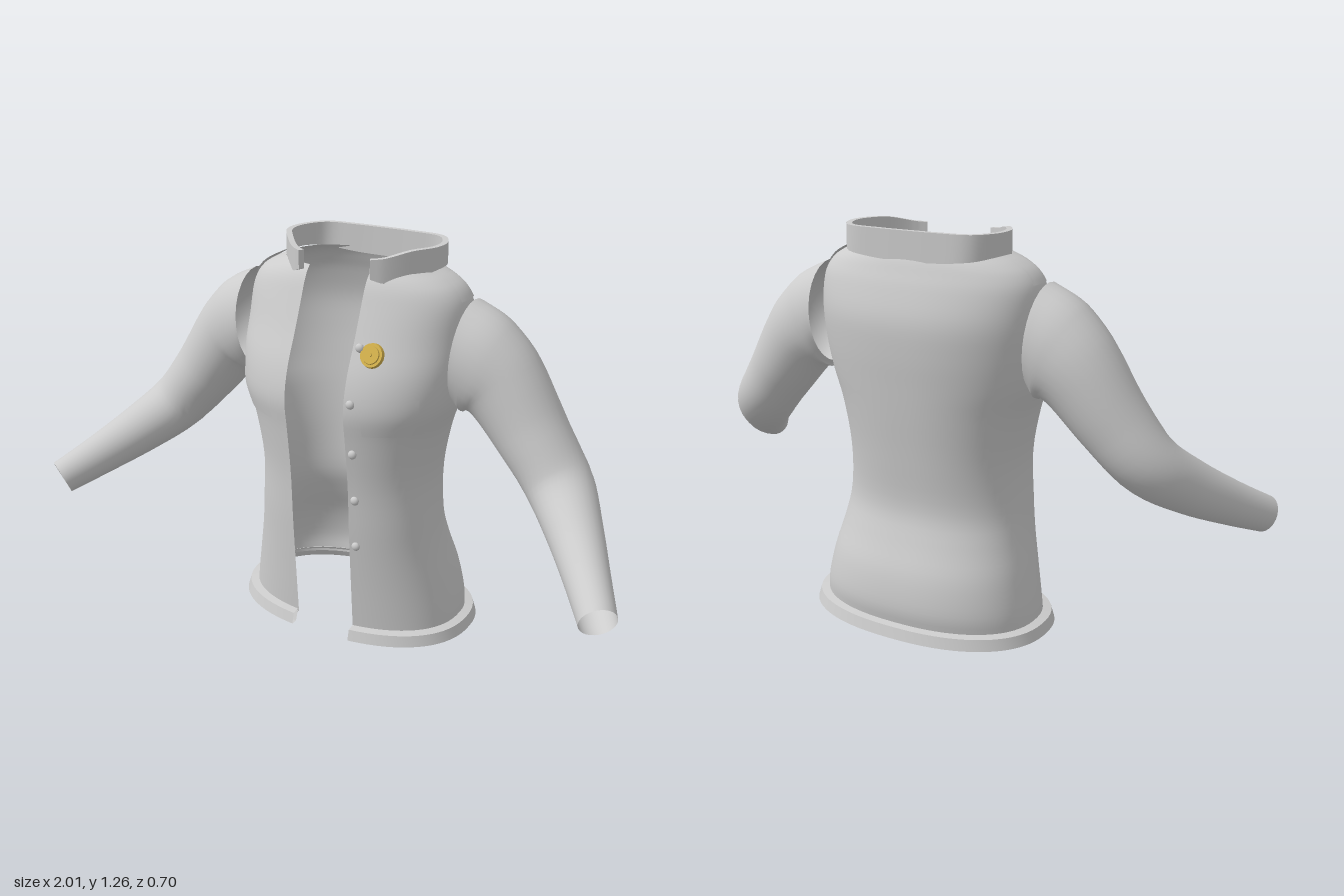
import * as THREE from 'three';
import { mergeVertices, toCreasedNormals } from 'three/addons/utils/BufferGeometryUtils.js';

const cloth = new THREE.MeshStandardMaterial({ color: 0xcccccc, side: THREE.DoubleSide });
cloth.name = 'grey cloth';
const gold = new THREE.MeshStandardMaterial({ color: 0xd2b04c });
gold.name = 'gold';

// Sheet through fn(u, v) with u, v in 0..1
function sheet(nu, nv, fn, crease) {
  const pos = [], idx = [];
  for (let j = 0; j <= nv; j++) {
    for (let i = 0; i <= nu; i++) pos.push(...fn(i / nu, j / nv));
  }
  for (let j = 0; j < nv; j++) {
    for (let i = 0; i < nu; i++) {
      const a = j * (nu + 1) + i, b = a + nu + 1;
      idx.push(a, a + 1, b + 1, a, b + 1, b);
    }
  }
  let g = new THREE.BufferGeometry();
  g.setAttribute('position', new THREE.Float32BufferAttribute(pos, 3));
  g.setIndex(idx);
  g = mergeVertices(g, 1e-5);
  if (crease) return toCreasedNormals(g, 0.6);
  g.computeVertexNormals();
  return g;
}

// Body profile: height, half width, front z, back z
const rows = [
  [0.03, 0.372, 0.162, -0.315], [0.1, 0.363, 0.168, -0.325], [0.2, 0.343, 0.176, -0.31],
  [0.3, 0.32, 0.184, -0.272], [0.4, 0.305, 0.191, -0.245], [0.55, 0.298, 0.199, -0.257],
  [0.7, 0.322, 0.215, -0.275], [0.8, 0.355, 0.225, -0.286], [0.9, 0.37, 0.203, -0.296],
  [1.0, 0.372, 0.158, -0.298], [1.09, 0.367, 0.12, -0.275], [1.14, 0.342, 0.1, -0.255],
  [1.17, 0.3, 0.085, -0.242], [1.19, 0.25, 0.07, -0.23],
];
const curveOf = (k, m) => new THREE.CatmullRomCurve3(
  rows.map(r => new THREE.Vector3(r[k], r[0], r[m])), false, 'catmullrom', 0.5);
const frontCurve = curveOf(1, 2), backCurve = curveOf(1, 3);
const N = 2.3, GAP = 0.105;
const power = a => Math.sign(a) * Math.abs(a) ** (2 / N);

// Profile values at height parameter v
function section(v, off = 0) {
  const a = frontCurve.getPoint(v), b = backCurve.getPoint(v);
  return { y: a.y, w: a.x + off, c: (a.z + b.z) / 2, d: (a.z - b.z) / 2 + off };
}
function paramAt(y) {
  let lo = 0, hi = 1;
  for (let i = 0; i < 30; i++) {
    const m = (lo + hi) / 2;
    if (frontCurve.getPoint(m).y < y) lo = m; else hi = m;
  }
  return lo;
}
// Point on the body; u runs from the left front edge round the back to the right
function bodyPoint(u, v, off = 0) {
  const s = section(v, off);
  const t0 = Math.asin((GAP / s.w) ** (N / 2));
  const t = t0 + u * (2 * Math.PI - 2 * t0);
  return [s.w * power(Math.sin(t)), s.y, s.c + s.d * power(Math.cos(t))];
}
// Point on the front of the body at a given x and y
function frontPoint(x, y, off = 0) {
  const s = section(paramAt(y), off);
  const z = s.c + s.d * Math.max(0, 1 - (Math.abs(x) / s.w) ** N) ** (1 / N);
  return new THREE.Vector3(x, y, z);
}

export function createModel() {
  const model = new THREE.Group();
  const add = (name, geometry, material = cloth) => {
    const m = new THREE.Mesh(geometry, material);
    m.name = name;
    model.add(m);
    return m;
  };

  add('jacketBody', sheet(72, 52, (u, v) => bodyPoint(u, v)));

  // Flared hem band: offset and height of its cross-section
  const hem = [[-0.002, 0.045], [0.026, 0.04], [0.036, 0.005], [0.014, 0.005], [-0.002, 0.045]];
  add('hemBand', sheet(72, 4, (u, v) => {
    const [off, y] = hem[Math.round(v * 4)];
    const p = bodyPoint(u, 0, off);
    return [p[0], y, p[2]];
  }, true));

  // Stand collar: plan path with lower and upper edge heights
  const half = [[0.118, 0.082, 1.18, 1.238], [0.155, 0.06, 1.167, 1.242], [0.21, 0.0, 1.172, 1.258],
    [0.252, -0.07, 1.19, 1.26], [0.252, -0.14, 1.192, 1.26], [0.205, -0.213, 1.182, 1.26],
    [0.1, -0.228, 1.172, 1.26]];
  const ring = [...half, [0, -0.23, 1.17, 1.26], ...half.slice().reverse().map(p => [-p[0], ...p.slice(1)])];
  const lower = new THREE.CatmullRomCurve3(ring.map(p => new THREE.Vector3(p[0], p[2], p[1])));
  const upper = new THREE.CatmullRomCurve3(ring.map(p => new THREE.Vector3(p[0], p[3], p[1])));
  const collarPoint = (u, k) => {
    const low = lower.getPoint(u), p = k === 1 || k === 2 ? upper.getPoint(u) : low;
    const t = lower.getTangent(u);
    const out = new THREE.Vector3(-t.z, 0, t.x).normalize();
    const o = k < 2 || k === 4 ? 0.009 : -0.009;
    return [low.x + out.x * o, p.y, low.z + out.z * o];
  };
  add('collar', sheet(56, 4, (u, v) => collarPoint(u, Math.round(v * 4)), true));
  for (const u of [0, 1]) {
    add('collarEnd', sheet(1, 1, (a, b) => collarPoint(u, b ? (a ? 2 : 1) : (a ? 3 : 0))));
  }

  // Sleeves: centre x, y, z, then radius up and radius across
  const stations = [[0.375, 0.955, -0.07, 0.165, 0.142], [0.43, 0.92, -0.073, 0.16, 0.138],
    [0.5, 0.86, -0.075, 0.133, 0.128], [0.6, 0.73, -0.062, 0.112, 0.115],
    [0.7, 0.61, -0.03, 0.098, 0.105], [0.79, 0.525, 0.07, 0.085, 0.085],
    [0.88, 0.45, 0.195, 0.07, 0.067], [0.957, 0.39, 0.31, 0.058, 0.055]];
  const path = new THREE.CatmullRomCurve3(
    stations.map(s => new THREE.Vector3(s[0], s[1], s[2])), false, 'catmullrom', 0.5);
  const radii = new THREE.CatmullRomCurve3(
    stations.map(s => new THREE.Vector3(s[3], s[4], 0)), false, 'catmullrom', 0.5);
  const armhole = new THREE.Vector3(1, -0.08, 0).normalize();
  const sleevePoint = (u, v) => {
    const c = path.getPoint(v), r = radii.getPoint(v);
    const t = path.getTangent(v).lerp(armhole, Math.max(0, 1 - v * 4)).normalize();
    const across = new THREE.Vector3().crossVectors(t, new THREE.Vector3(0, 1, 0)).normalize();
    const up = new THREE.Vector3().crossVectors(across, t);
    const a = u * Math.PI * 2;
    return c.addScaledVector(up, r.x * Math.cos(a)).addScaledVector(across, r.y * Math.sin(a));
  };
  for (const side of [1, -1]) {
    const name = side > 0 ? 'left' : 'right';
    add(name + 'Sleeve', sheet(28, 36, (u, v) => {
      const p = sleevePoint(u, v);
      return [p.x * side, p.y, p.z];
    }));

    // Chest pocket laid on the front
    add(name + 'Pocket', sheet(10, 8, (u, v) =>
      frontPoint(side * (0.16 + 0.15 * u), 0.73 + 0.12 * v, 0.004).toArray()));

    // Shoulder tab between collar and sleeve
    const v0 = paramAt(1.11), v1 = paramAt(1.178);
    add(name + 'ShoulderTab', sheet(6, 8, (u, v) => {
      const p = bodyPoint(0.2 + 0.06 * u, v0 + (v1 - v0) * v, 0.006);
      return [p[0] * side, p[1] + 0.004, p[2]];
    }));

    // Facing inside the front edge
    add(name + 'Facing', sheet(4, 40, (u, v) => {
      const p = bodyPoint(0.05 * u, v, -0.006);
      return [p[0] * side, p[1], p[2]];
    }));
  }

  // Button row down the left front
  for (const y of [0.99, 0.83, 0.665, 0.505, 0.345]) {
    const button = add('button', new THREE.SphereGeometry(0.014, 14, 10));
    button.position.copy(frontPoint(0.127, y, 0.003));
    button.scale.z = 0.7;
  }

  // Round chest badge with a raised centre
  const badge = new THREE.Group();
  badge.name = 'badge';
  [[0.038, 0.012, 0], [0.028, 0.005, 0.008], [0.006, 0.006, 0.012]].forEach(([r, h, lift], i) => {
    const disc = new THREE.Mesh(new THREE.CylinderGeometry(r * 0.94, r, h, 28), gold);
    disc.name = ['badgeDisc', 'badgeFace', 'badgeStud'][i];
    disc.position.y = lift;
    badge.add(disc);
  });
  badge.position.copy(frontPoint(0.17, 0.975, 0.008));
  badge.rotation.x = Math.PI / 2 - 0.44;
  model.add(badge);

  return model;
}
